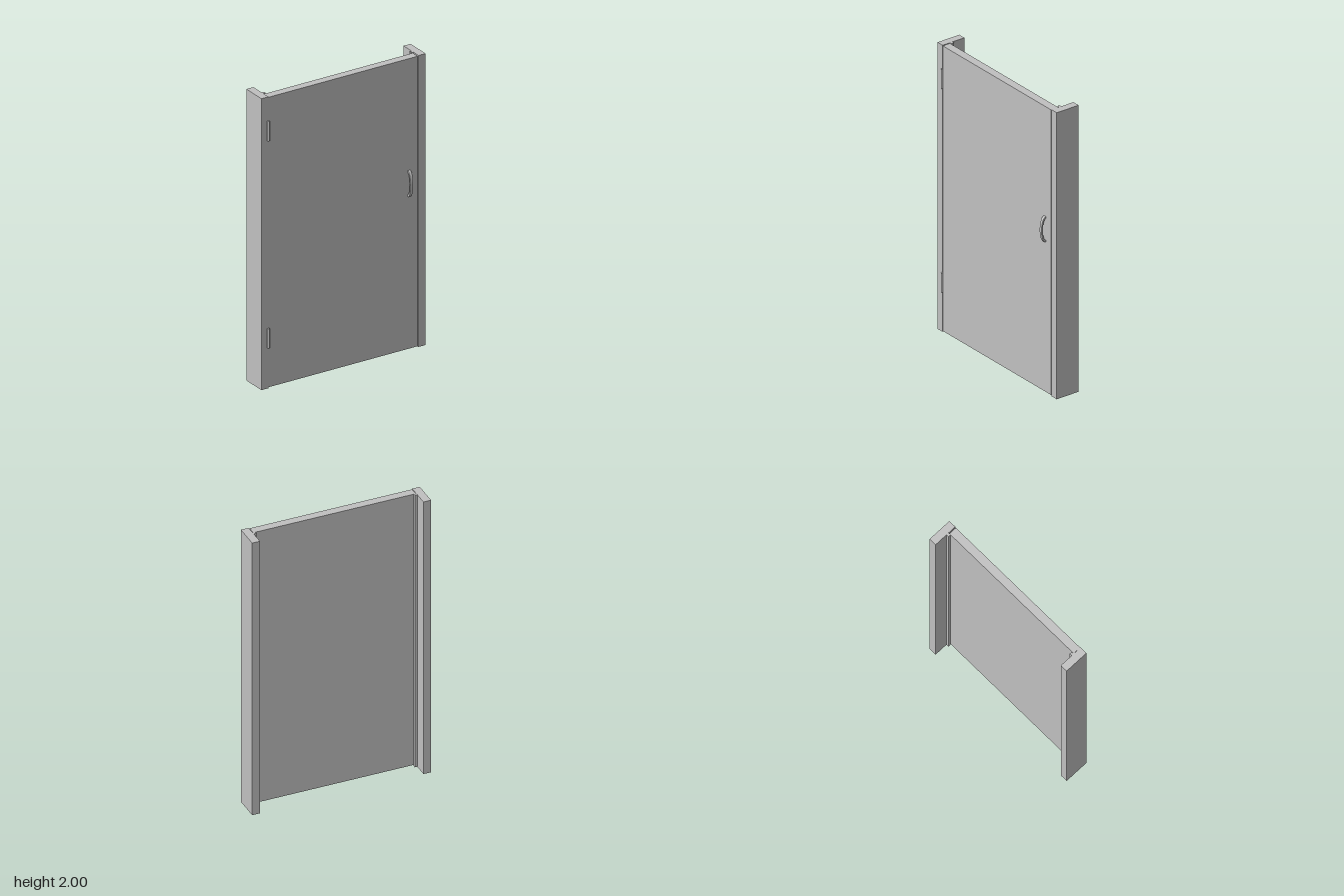
import * as THREE from 'three';

export function createModel() {
  const group = new THREE.Group();
  group.name = 'door';
  const grey = new THREE.MeshStandardMaterial({ color: 0xc0c0c0 });
  grey.name = 'grey';

  const add = (name, geometry) => {
    const mesh = new THREE.Mesh(geometry, grey);
    mesh.name = name;
    group.add(mesh);
    return mesh;
  };
  // Box given by its lower and upper limits on each axis
  const box = (name, [x0, x1], [y0, y1], [z0, z1]) =>
    add(name, new THREE.BoxGeometry(x1 - x0, y1 - y0, z1 - z0))
      .position.set((x0 + x1) / 2, (y0 + y1) / 2, (z0 + z1) / 2);

  // Door panel
  box('doorPanel', [-0.557, 0.552], [0.006, 1.996], [0.012, 0.068]);

  // Jambs with the narrow strips the door closes against
  box('leftJamb', [0.558, 0.611], [0, 2], [-0.102, 0.069]);
  box('rightJamb', [-0.611, -0.559], [0, 2], [-0.102, 0.069]);
  box('leftDoorStop', [0.54, 0.558], [0, 2], [-0.008, 0.01]);
  box('rightDoorStop', [-0.559, -0.542], [0, 2], [-0.008, 0.01]);

  // Hinge barrels
  for (const [name, y] of [['lowerHinge', 0.345], ['upperHinge', 1.767]]) {
    add(name, new THREE.CylinderGeometry(0.008, 0.008, 0.135, 20))
      .position.set(-0.56, y, 0.072);
  }

  // Bowed handle: an arched band, bevelled along its edges
  const outline = new THREE.Shape();
  const half = Math.PI / 2;
  outline.absellipse(0, 0, 0.033, 0.088, -half, half, false, 0);
  outline.absellipse(0, 0, 0.025, 0.077, half, -half, true, 0);
  outline.closePath();
  const handle = new THREE.ExtrudeGeometry(outline, {
    depth: 0.016, curveSegments: 24,
    bevelEnabled: true, bevelThickness: 0.002, bevelSize: 0.002, bevelSegments: 2,
  });
  handle.translate(0, 0, -0.008);
  handle.rotateY(-half);
  add('handle', handle).position.set(0.488, 1.14, 0.067);

  return group;
}
